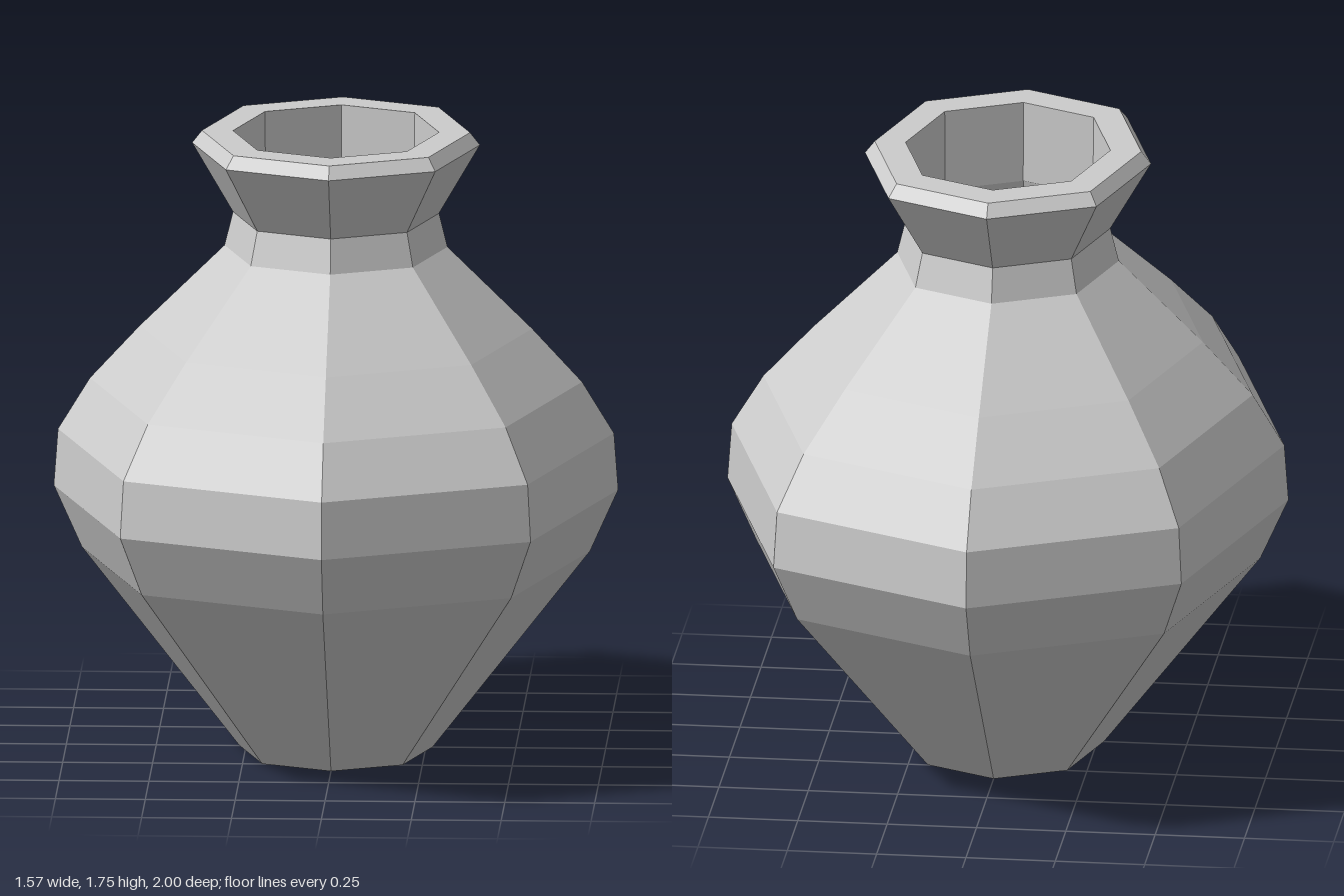
import * as THREE from 'three';

const WIDTH = 0.785;  // x radius relative to z radius
const BULGE = 1.028;  // diagonal corners sit slightly outside a regular octagon

// Eight-sided oval ring surface from [radius, height] pairs, listed bottom to top
function ovalLathe(name, profile, material) {
  const points = profile.map(([r, y]) => new THREE.Vector2(r, y));
  const geometry = new THREE.LatheGeometry(points, 8);
  const pos = geometry.attributes.position;
  for (let i = 0; i < pos.count; i++) {
    const x = pos.getX(i), z = pos.getZ(i);
    const diagonal = Math.abs(x) > 1e-4 && Math.abs(z) > 1e-4;
    const k = diagonal ? BULGE : 1;
    pos.setX(i, x * WIDTH * k);
    pos.setZ(i, z * k);
  }
  geometry.computeVertexNormals();
  const mesh = new THREE.Mesh(geometry, material);
  mesh.name = name;
  return mesh;
}

export function createModel() {
  const group = new THREE.Group();
  group.name = 'vase';
  const clay = new THREE.MeshStandardMaterial({
    color: 0xcccccc, flatShading: true, side: THREE.DoubleSide,
  });

  // Body: open at the base, swelling to the belly and closing in to the neck
  group.add(ovalLathe('body', [
    [0.342, 0], [0.9, 0.56], [1, 0.735], [0.985, 0.895],
    [0.872, 1.04], [0.695, 1.19], [0.395, 1.42], [0.365, 1.515],
  ], clay));

  // Lip: flared collar, bevelled edge, flat rim and upright inner wall
  group.add(ovalLathe('lip', [
    [0.365, 1.515], [0.51, 1.71], [0.475, 1.745], [0.365, 1.745], [0.362, 1.515],
  ], clay));

  return group;
}
